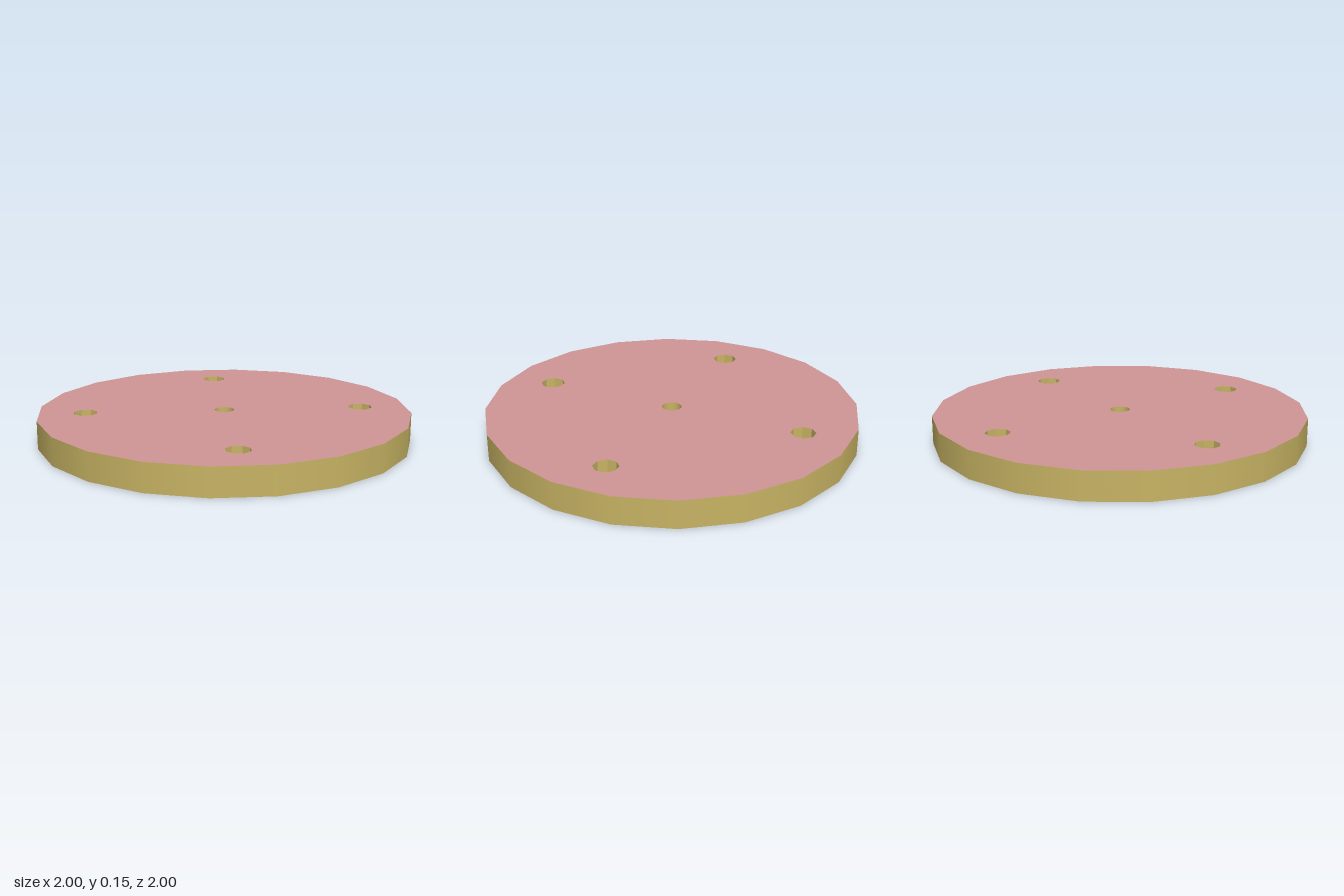
import * as THREE from 'three';

const HEIGHT = 0.15, FLOOR = 0.03, SIDES = 20;

// Ring of points on a circle, for outlines and holes
function ring(x, y, r, sides, turn = 0) {
  return Array.from({ length: sides }, (_, i) => {
    const a = turn + (i / sides) * Math.PI * 2;
    return new THREE.Vector2(x + r * Math.cos(a), y + r * Math.sin(a));
  });
}

export function createModel() {
  const model = new THREE.Group();
  model.name = 'disc';
  const olive = new THREE.MeshStandardMaterial({ color: 0xc8b464 });
  const pink = new THREE.MeshStandardMaterial({ color: 0xd09696 });
  const inner = new THREE.MeshStandardMaterial({ color: 0xc8b464, side: THREE.BackSide });
  const innerFlat = new THREE.MeshStandardMaterial({ color: 0xc8b464, side: THREE.BackSide, flatShading: true });

  const add = (name, geometry, material, parent = model) => {
    const mesh = new THREE.Mesh(geometry, material);
    mesh.name = name;
    parent.add(mesh);
    return mesh;
  };

  // Rim and underside
  add('rim', new THREE.CylinderGeometry(1, 1, HEIGHT, SIDES, 1, true), olive).position.y = HEIGHT / 2;
  add('underside', new THREE.CircleGeometry(1, SIDES).rotateX(Math.PI / 2), olive);

  // One round centre hole and four octagonal outer holes
  const holes = [{ name: 'centreHole', x: 0, z: 0, r: 0.052, sides: 24, turn: 0, wall: inner }];
  for (const x of [-0.525, 0.525]) {
    for (const z of [-0.525, 0.525]) {
      holes.push({ name: 'outerHole', x, z, r: 0.066, sides: 8, turn: Math.PI / 8, wall: innerFlat });
    }
  }

  // Top face pierced by the holes
  const face = new THREE.Shape(ring(0, 0, 1, SIDES));
  for (const h of holes) face.holes.push(new THREE.Path(ring(h.x, -h.z, h.r, h.sides, h.turn)));
  add('topFace', new THREE.ShapeGeometry(face).rotateX(-Math.PI / 2), pink).position.y = HEIGHT;

  // Wall and floor of each blind hole
  for (const h of holes) {
    const hole = new THREE.Group();
    hole.name = h.name;
    hole.position.set(h.x, FLOOR, h.z);
    hole.rotation.y = h.turn;
    const depth = HEIGHT - FLOOR;
    add('holeWall', new THREE.CylinderGeometry(h.r, h.r, depth, h.sides, 1, true), h.wall, hole).position.y = depth / 2;
    add('holeFloor', new THREE.CircleGeometry(h.r, h.sides).rotateX(-Math.PI / 2), olive, hole);
    model.add(hole);
  }
  return model;
}
